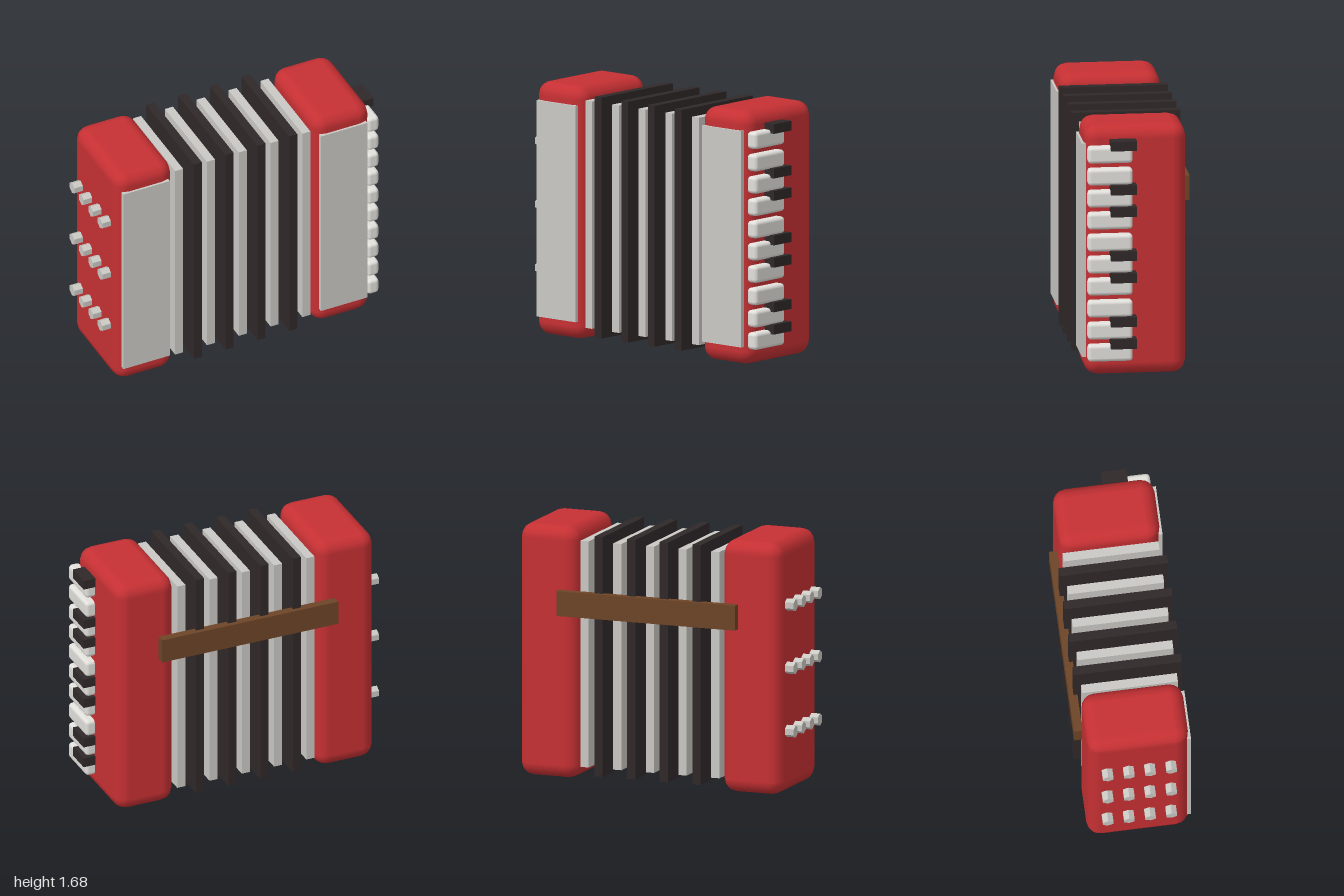
import * as THREE from 'three';
import { RoundedBoxGeometry } from 'three/addons/geometries/RoundedBoxGeometry.js';

const paint = (name, color) => {
  const m = new THREE.MeshStandardMaterial({ color });
  m.name = name;
  return m;
};

export function createModel() {
  const red = paint('red lacquer', 0xc63033);
  const grey = paint('pale grey', 0xcac8c3);
  const ivory = paint('ivory', 0xe2e0db);
  const black = paint('black', 0x302829);
  const brown = paint('brown leather', 0x6d4527);

  const model = new THREE.Group();
  model.name = 'accordion';

  const add = (name, geometry, material, x, y, z) => {
    const mesh = new THREE.Mesh(geometry, material);
    mesh.name = name;
    mesh.position.set(x, y, z);
    model.add(mesh);
  };
  // Box given by its limits on each axis; a radius rounds its edges
  const block = (name, material, [x0, x1], [y0, y1], [z0, z1], radius = 0) => {
    const size = [x1 - x0, y1 - y0, z1 - z0];
    const geometry = radius
      ? new RoundedBoxGeometry(...size, 2, radius)
      : new THREE.BoxGeometry(...size);
    add(name, geometry, material, (x0 + x1) / 2, (y0 + y1) / 2, (z0 + z1) / 2);
  };

  // Two end cases, each with a front grille
  for (const [side, x] of [['right', -0.73], ['left', 0.698]]) {
    block(side + 'Case', red, [x - 0.208, x + 0.208], [0, 1.676], [-0.32, 0.347], 0.09);
    block(side + 'Grille', grey, [x - 0.168, x + 0.168], [0.125, 1.555], [0.335, 0.362]);
  }

  // Bellows: alternating small pale and large dark folds
  for (let i = 0; i < 9; i++) {
    const x = -0.478 + i * 0.115;
    if (i % 2 === 0) block('paleFold', grey, [x - 0.029, x + 0.029], [0.09, 1.593], [-0.302, 0.327]);
    else block('darkFold', black, [x - 0.029, x + 0.029], [0.044, 1.637], [-0.343, 0.368]);
  }

  // Strap across the back
  block('strap', brown, [-0.645, 0.612], [1.095, 1.26], [-0.373, -0.317]);

  // Piano keys on the left case
  for (let i = 0; i < 10; i++) {
    const y = 0.168 + i * 0.1474;
    block('whiteKey', ivory, [0.885, 0.968], [y - 0.057, y + 0.057], [0.038, 0.333], 0.025);
    if (i % 3 !== 2) {
      block('blackKey', black, [0.912, 0.997], [y + 0.034, y + 0.098], [0.015, 0.185]);
    }
  }

  // Hexagonal bass buttons on the right case
  const button = new THREE.CylinderGeometry(0.04, 0.04, 0.08, 6)
    .rotateY(Math.PI / 6).rotateZ(Math.PI / 2).toNonIndexed();
  button.computeVertexNormals();
  for (let row = 0; row < 3; row++) {
    for (let col = 0; col < 4; col++) {
      add('bassButton', button, grey, -0.96, 0.42 + row * 0.42, -0.195 + col * 0.139);
    }
  }

  return model;
}
